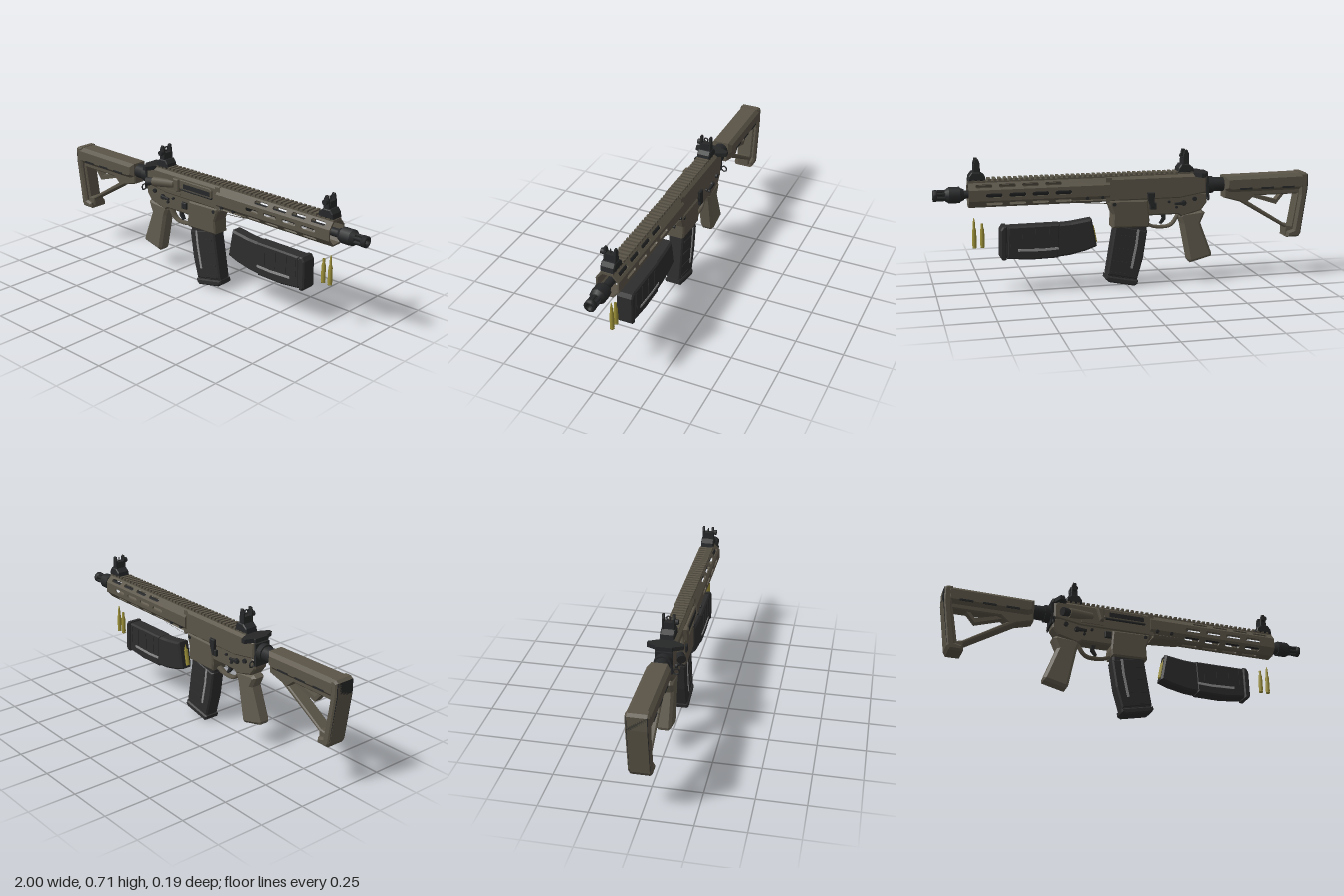
import * as THREE from 'three';

const mat = (name, color) => Object.assign(new THREE.MeshStandardMaterial({ color }), { name });
const ZC = -0.006; // centre plane of everything

export function createModel() {
  const root = new THREE.Group();
  const olive = mat('olive metal', 0x5b5548), tan = mat('grip polymer', 0x635d50);
  const black = mat('black metal', 0x262728), poly = mat('magazine polymer', 0x2d2d2e);
  const brass = mat('brass', 0x9c9038), grey = mat('window grey', 0x8e8e8e);
  const body = new THREE.Group();
  body.name = 'rifle';
  body.position.z = ZC;
  root.add(body);

  const add = (name, geo, m, parent = body) => {
    const mesh = new THREE.Mesh(geo, m);
    mesh.name = name;
    parent.add(mesh);
    return mesh;
  };
  const vec = pts => pts.map(p => new THREE.Vector2(p[0], p[1]));
  // side profile, extruded symmetrically with chamfered edges
  const slab = (name, pts, half, m, { holes = [], bevel = 0.008, z = 0, parent = body } = {}) => {
    const s = new THREE.Shape(vec(pts));
    holes.forEach(h => s.holes.push(new THREE.Path(vec(h))));
    const g = new THREE.ExtrudeGeometry(s, {
      depth: 2 * (half - bevel), bevelEnabled: bevel > 0, bevelSize: bevel, bevelThickness: bevel,
      bevelOffset: -bevel, bevelSegments: 1, curveSegments: 6
    });
    g.translate(0, 0, z - half + bevel);
    return add(name, g, m, parent);
  };
  const box = (name, x0, x1, y0, y1, z0, z1, m, parent) => {
    const g = new THREE.BoxGeometry(x1 - x0, y1 - y0, z1 - z0);
    g.translate((x0 + x1) / 2, (y0 + y1) / 2, (z0 + z1) / 2);
    return add(name, g, m, parent);
  };
  // cylinder between two points
  const rod = (name, a, b, r0, r1, m, n = 12, parent = body) => {
    const A = new THREE.Vector3(...a), B = new THREE.Vector3(...b), d = B.clone().sub(A);
    const mesh = add(name, new THREE.CylinderGeometry(r1, r0, d.length(), n), m, parent);
    mesh.position.copy(A).addScaledVector(d, 0.5);
    mesh.quaternion.setFromUnitVectors(new THREE.Vector3(0, 1, 0), d.normalize());
    return mesh;
  };
  const pin = (name, x, y, r, half, m = black) => rod(name, [x, y, -half], [x, y, half], r, r, m, 10);

  // ---- stock
  slab('stockTube', [[-0.985, 0.58], [-0.53, 0.575], [-0.53, 0.505], [-0.56, 0.49], [-0.985, 0.49]], 0.058, olive, { bevel: 0.018 });
  slab('stockFrame', [[-0.985, 0.53], [-0.53, 0.53], [-0.53, 0.46], [-0.62, 0.435], [-0.88, 0.28], [-0.88, 0.24], [-0.95, 0.235], [-0.955, 0.29]],
    0.036, olive, { bevel: 0.006, holes: [
      [[-0.945, 0.465], [-0.915, 0.29], [-0.89, 0.295], [-0.665, 0.435], [-0.70, 0.465]]] });
  slab('stockBrace', [[-0.88, 0.47], [-0.86, 0.47], [-0.83, 0.435], [-0.72, 0.465], [-0.69, 0.455], [-0.83, 0.41]], 0.02, olive, { bevel: 0 });
  slab('buttPad', [[-1, 0.57], [-0.985, 0.582], [-0.955, 0.582], [-0.955, 0.46], [-0.925, 0.27], [-0.89, 0.26], [-0.885, 0.23], [-0.955, 0.23], [-0.967, 0.25], [-1, 0.50]],
    0.057, olive, { bevel: 0.01 });
  slab('buttRubber', [[-1, 0.57], [-0.988, 0.57], [-0.988, 0.50], [-0.957, 0.25], [-0.965, 0.25], [-1, 0.50]], 0.05, black, { bevel: 0 });
  for (const s of [-1, 1]) for (const x of [-0.92, -0.80, -0.68])
    box('stockSlot', x, x + 0.07, 0.503, 0.513, s * 0.0575 - 0.002, s * 0.0575 + 0.002, black);

  // ---- buffer tube and collar
  rod('bufferTube', [-0.56, 0.53, 0], [-0.42, 0.53, 0], 0.038, 0.038, black, 16);
  rod('castleNut', [-0.47, 0.53, 0], [-0.435, 0.53, 0], 0.046, 0.046, black, 12);
  box('endPlate', -0.44, -0.427, 0.46, 0.58, -0.043, 0.043, black);

  // ---- upper receiver
  slab('upperReceiver', [[-0.43, 0.585], [-0.40, 0.597], [0.11, 0.597], [0.11, 0.465], [-0.28, 0.465], [-0.43, 0.49]], 0.047, olive, { bevel: 0.014 });
  slab('ejectionCover', [[-0.16, 0.58], [0.06, 0.58], [0.07, 0.57], [0.07, 0.53], [-0.16, 0.53]], 0.007, olive, { bevel: 0.003, z: 0.055 });
  box('ejectionPort', -0.13, 0.06, 0.537, 0.562, 0.060, 0.064, black);
  rod('coverHinge', [-0.15, 0.527, 0.056], [0.07, 0.527, 0.056], 0.006, 0.006, black, 8);
  slab('brassDeflector', [[-0.20, 0.58], [-0.16, 0.58], [-0.16, 0.51], [-0.18, 0.51]], 0.016, olive, { z: 0.055, bevel: 0.006 });
  rod('forwardAssistHousing', [-0.35, 0.525, 0.062], [-0.22, 0.535, 0.035], 0.027, 0.022, olive, 10);
  rod('forwardAssistButton', [-0.39, 0.52, 0.077], [-0.35, 0.525, 0.062], 0.024, 0.02, black, 10);

  // ---- charging handle
  slab('chargingHandle', [[-0.435, 0.605], [-0.36, 0.605], [-0.36, 0.583], [-0.435, 0.583]], 0.045, black, { bevel: 0.004 });
  for (const s of [-1, 1]) {
    const wing = new THREE.Shape(vec([[-0.43, 0.03], [-0.355, 0.03], [-0.385, 0.09], [-0.405, 0.09]]));
    const g = new THREE.ExtrudeGeometry(wing, { depth: 0.022, bevelEnabled: false });
    g.rotateX(s * Math.PI / 2).translate(0, s > 0 ? 0.605 : 0.583, 0);
    add('chargingLatch', g, black);
  }

  // ---- lower receiver, magazine well, trigger
  slab('lowerReceiver', [[-0.43, 0.49], [-0.38, 0.505], [0.06, 0.485], [0.06, 0.42], [-0.12, 0.385], [-0.27, 0.385], [-0.29, 0.37], [-0.40, 0.40], [-0.43, 0.44]],
    0.041, olive, { bevel: 0.008 });
  slab('magazineWell', [[-0.105, 0.47], [0.10, 0.475], [0.098, 0.45], [0.08, 0.40], [0.085, 0.33], [-0.11, 0.325], [-0.115, 0.36]], 0.049, olive, { bevel: 0.008 });
  const guard = new THREE.CatmullRomCurve3([[-0.28, 0.375], [-0.255, 0.335], [-0.23, 0.318], [-0.15, 0.318], [-0.11, 0.335]]
    .map(p => new THREE.Vector3(p[0], p[1], 0)));
  const guardMesh = add('triggerGuard', new THREE.TubeGeometry(guard, 16, 0.009, 6), olive);
  guardMesh.scale.z = 2.2;
  slab('trigger', [[-0.21, 0.39], [-0.185, 0.39], [-0.195, 0.36], [-0.18, 0.333], [-0.19, 0.33], [-0.212, 0.355]], 0.01, black, { bevel: 0 });
  [[-0.36, 0.465, 0.012], [-0.22, 0.455, 0.007], [-0.26, 0.425, 0.007], [0.075, 0.455, 0.010]].forEach(([x, y, r]) => pin('receiverPin', x, y, r, 0.052));
  for (const s of [-1, 1]) {
    pin('selectorHub', -0.30, 0.445, 0.015, 0.05);
    slab('selectorLever', [[-0.31, 0.455], [-0.25, 0.45], [-0.25, 0.437], [-0.31, 0.435]], 0.006, black, { z: s * 0.05, bevel: 0.002 });
    slab('magazineRelease', [[-0.15, 0.455], [-0.115, 0.455], [-0.115, 0.42], [-0.15, 0.42]], 0.008, black, { z: s * 0.05, bevel: 0.003 });
    // sling loops at the front of the receiver
    const loop = add('slingLoop', new THREE.TorusGeometry(0.016, 0.004, 5, 8), black);
    loop.position.set(-0.43, 0.475, s * 0.06);
    loop.rotation.y = Math.PI / 2;
  }
  slab('boltCatch', [[-0.14, 0.51], [-0.10, 0.51], [-0.105, 0.47], [-0.12, 0.43], [-0.135, 0.43]], 0.01, black, { z: -0.052, bevel: 0.003 });
  box('boltRail', -0.28, -0.16, 0.488, 0.50, 0.04, 0.052, olive);

  // ---- pistol grip
  slab('grip', [[-0.405, 0.40], [-0.29, 0.39], [-0.28, 0.37], [-0.295, 0.33], [-0.335, 0.13], [-0.345, 0.115], [-0.462, 0.145], [-0.465, 0.16], [-0.40, 0.33], [-0.425, 0.385]],
    0.039, tan, { bevel: 0.014 });

  // ---- handguard: octagonal shell of slotted panels
  const X0 = 0.10, X1 = 0.825, CY = 0.533, W = 0.06, H = 0.064, C = 0.028;
  const ring = [[W, -C], [W, C], [C, H], [-C, H], [-W, C], [-W, -C], [-C, -H], [C, -H]];
  ring.forEach(([z0, y0], i) => {
    const [z1, y1] = ring[(i + 1) % 8], len = Math.hypot(z1 - z0, y1 - y0);
    const s = new THREE.Shape(vec([[X0, 0], [X1, 0], [X1, len], [X0, len]]));
    const start = i === 1 || i === 3 ? 0.35 : 0.30;
    if (i !== 2) for (let x = start; x < 0.74; x += 0.118) {
      const a = len / 2 - 0.010, b = len / 2 + 0.010, e = x + 0.085;
      s.holes.push(new THREE.Path(vec([[x, a + 0.006], [x + 0.006, a], [e - 0.006, a], [e, a + 0.006], [e, b - 0.006], [e - 0.006, b], [x + 0.006, b], [x, b - 0.006]])));
    }
    const g = new THREE.ExtrudeGeometry(s, { depth: 0.008, bevelEnabled: false });
    g.translate(0, 0, -0.008);
    const up = new THREE.Vector3(0, (y1 - y0) / len, (z1 - z0) / len), ex = new THREE.Vector3(1, 0, 0);
    g.applyMatrix4(new THREE.Matrix4().makeBasis(ex, up, ex.clone().cross(up)).setPosition(0, CY + y0, z0));
    add('handguardPanel', g, olive);
  });
  slab('handguardCollar', [[0.095, 0.59], [0.115, 0.59], [0.115, 0.46], [0.28, 0.472], [0.30, 0.485], [0.095, 0.485]], 0.05, olive, { bevel: 0.006 });
  for (const s of [-1, 1]) for (const x of [0.14, 0.22]) rod('handguardScrew', [x, 0.497, s * 0.05], [x, 0.497, s * 0.063], 0.009, 0.009, black, 8);

  // ---- top rail with teeth
  box('railBase', -0.36, 0.825, 0.592, 0.602, -0.030, 0.030, olive);
  for (let x = -0.355; x < 0.81; x += 0.0273) box('railTooth', x, x + 0.015, 0.60, 0.613, -0.035, 0.035, olive);

  // ---- barrel and muzzle
  rod('barrel', [0.08, CY, 0], [0.88, CY, 0], 0.021, 0.021, black, 16);
  rod('barrelNut', [0.10, CY, 0], [0.28, CY, 0], 0.042, 0.038, black, 16);
  rod('muzzleCollar', [0.845, CY, 0], [0.865, CY, 0], 0.028, 0.036, black, 8);
  rod('muzzleBody', [0.865, CY, 0], [0.92, CY, 0], 0.042, 0.042, black, 8);
  rod('muzzleTaper', [0.92, CY, 0], [0.94, CY, 0], 0.042, 0.028, black, 8);
  rod('flashHiderCore', [0.93, CY, 0], [0.975, CY, 0], 0.016, 0.016, black, 10);
  for (let i = 0; i < 6; i++) {
    const a = i * Math.PI / 3, y = CY + 0.021 * Math.cos(a), z = 0.021 * Math.sin(a);
    rod('flashHiderProng', [0.93, y, z], [0.985, y, z], 0.008, 0.008, black, 6);
  }
  const tip = add('flashHiderRing', new THREE.LatheGeometry(vec([[0.014, 0], [0.029, 0], [0.029, 0.022], [0.014, 0.022], [0.014, 0]]), 14), black);
  tip.rotation.z = -Math.PI / 2;
  tip.position.set(0.978, CY, 0);

  // ---- folding sights
  const sight = (name, x, top, rear) => {
    const g = new THREE.Group();
    g.name = name;
    g.position.x = x;
    body.add(g);
    slab('sightBase', [[-0.045, 0.605], [-0.04, 0.63], [-0.015, 0.65], [0.025, 0.65], [0.04, 0.63], [0.045, 0.605]], 0.036, black, { parent: g, bevel: 0.005 });
    box('sightPost', -0.016, 0.016, 0.64, 0.685, -0.022, 0.022, black, g);
    for (const s of [-1, 1])
      slab('sightWing', [[-0.018, 0.64], [-0.016, top - 0.02], [-0.008, top], [0.008, top], [0.014, top - 0.03], [0.018, 0.64]], 0.006, black, { parent: g, z: s * 0.026, bevel: 0.002 });
    rod('sightKnob', [0, 0.685, 0.02], [0, 0.685, 0.048], 0.014, 0.014, black, 10, g);
    if (rear) {
      const ap = add('aperture', new THREE.TorusGeometry(0.010, 0.004, 6, 12), black, g);
      ap.position.set(0, 0.703, 0);
      ap.rotation.y = Math.PI / 2;
    } else rod('frontPin', [0, 0.68, 0], [0, 0.708, 0], 0.004, 0.003, black, 6, g);
  };
  sight('rearSight', -0.315, 0.724, true);
  sight('frontSight', 0.78, 0.715, false);

  // ---- magazines (built lying down, base toward +x)
  const magazine = name => {
    const g = new THREE.Group();
    g.name = name;
    slab('magazineBody', [[0.192, 0.382], [0.30, 0.366], [0.43, 0.358], [0.55, 0.357], [0.64, 0.36], [0.65, 0.20], [0.52, 0.188], [0.41, 0.187], [0.31, 0.195], [0.22, 0.215], [0.165, 0.235]],
      0.036, poly, { parent: g, bevel: 0.01 });
    slab('magazineBase', [[0.635, 0.366], [0.655, 0.366], [0.668, 0.345], [0.672, 0.205], [0.66, 0.19], [0.64, 0.19]], 0.044, poly, { parent: g, bevel: 0.007 });
    slab('magazineShoulder', [[0.36, 0.364], [0.63, 0.362], [0.638, 0.196], [0.52, 0.184], [0.37, 0.187]], 0.040, poly, { parent: g, bevel: 0.008 });
    for (const s of [-1, 1]) {
      slab('magazineWindow', [[0.37, 0.232], [0.45, 0.228], [0.58, 0.232], [0.58, 0.245], [0.45, 0.241], [0.37, 0.245]], 0.002, grey, { parent: g, bevel: 0, z: s * 0.041 });
      for (const x of [0.41, 0.48, 0.55, 0.61]) box('magazineRib', x, x + 0.008, 0.255, 0.345, s * 0.04 - 0.003, s * 0.04 + 0.003, poly, g);
    }
    rod('topRoundCase', [0.168, 0.25, 0.008], [0.185, 0.335, 0.008], 0.012, 0.012, brass, 10, g);
    rod('topRoundTip', [0.185, 0.335, 0.008], [0.194, 0.375, 0.008], 0.008, 0.001, brass, 10, g);
    return g;
  };
  const loose = magazine('looseMagazine');
  const fitted = magazine('fittedMagazine');
  const R = -80 * Math.PI / 180, px = 0.672, py = 0.195;
  fitted.rotation.z = R;
  fitted.position.set(-0.045 - px * Math.cos(R) + py * Math.sin(R), 0.008 - px * Math.sin(R) - py * Math.cos(R), 0);
  body.add(loose, fitted);

  // ---- loose cartridges: an empty case and a full round
  const caseProfile = [[0, 0], [0.011, 0], [0.011, 0.005], [0.009, 0.008], [0.0115, 0.012], [0.0105, 0.09], [0.0065, 0.105], [0.0065, 0.125]];
  const roundOf = (name, x, end) => {
    const m = add(name, new THREE.LatheGeometry(vec([...caseProfile, ...end]), 14), brass);
    m.position.set(x, 0.255, 0);
  };
  roundOf('emptyCase', 0.757, [[0.005, 0.125], [0.005, 0.10], [0, 0.10]]);
  roundOf('fullRound', 0.798, [[0.006, 0.127], [0.0045, 0.142], [0.001, 0.156], [0, 0.156]]);

  return root;
}
